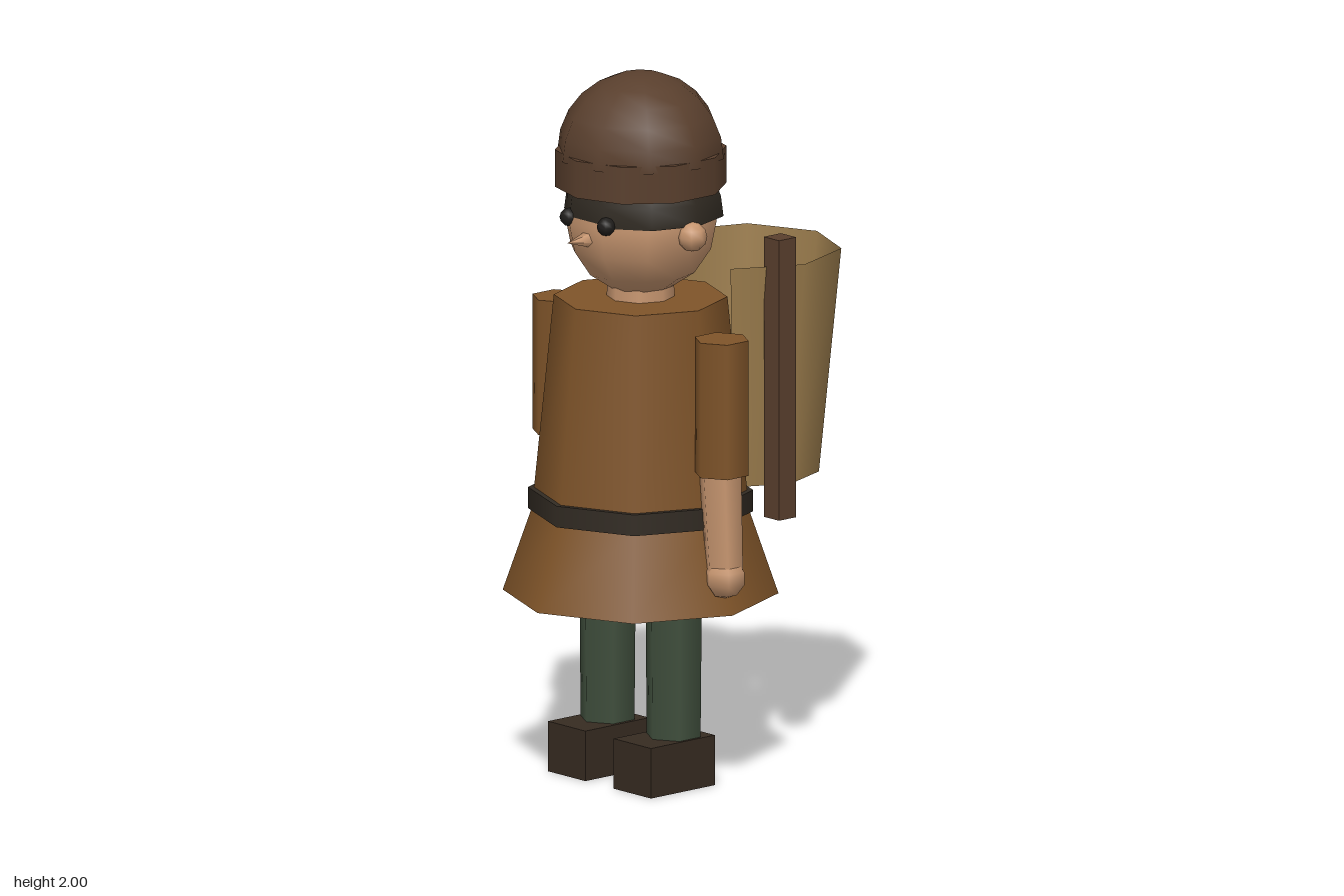
import * as THREE from 'three';

const CZ = 0.134; // depth of the body axis

function mat(name, color, side = THREE.FrontSide) {
  const m = new THREE.MeshStandardMaterial({ color, side });
  m.name = name;
  return m;
}

export function createModel() {
  const group = new THREE.Group();
  const coat = mat('coat brown', 0x7f5429);
  const belt = mat('belt dark', 0x322b23);
  const hair = mat('hair dark', 0x2f2921, THREE.DoubleSide);
  const leather = mat('leather and wood brown', 0x593f2d);
  const wicker = mat('basket tan', 0x9c7d4d, THREE.DoubleSide);
  const trousers = mat('trouser green', 0x3f4e3c);
  const boots = mat('boot brown', 0x362b21);
  const skin = mat('skin', 0xc6956f);
  const black = mat('eye black', 0x1f1d1b);

  function add(name, geometry, material, x, y, z) {
    const mesh = new THREE.Mesh(geometry, material);
    mesh.name = name;
    mesh.position.set(x, y, z);
    group.add(mesh);
    return mesh;
  }
  // Tapered cylinder standing between two heights
  function column(name, material, rTop, rBottom, y0, y1, sides, x = 0, z = CZ) {
    const g = new THREE.CylinderGeometry(rTop, rBottom, y1 - y0, sides);
    return add(name, g, material, x, (y0 + y1) / 2, z);
  }

  // Coat
  column('coatTop', coat, 0.24, 0.3, 0.76, 1.365, 8);
  column('coatSkirt', coat, 0.3, 0.381, 0.525, 0.76, 8);
  column('belt', belt, 0.311, 0.311, 0.757, 0.817, 8);

  // Head
  column('neck', skin, 0.09, 0.095, 1.34, 1.46, 8);
  add('head', new THREE.SphereGeometry(0.215, 10, 8), skin, 0, 1.59, CZ);
  add('hair', new THREE.SphereGeometry(0.225, 10, 6, 0, Math.PI * 2, 0, Math.PI / 2), hair, 0, 1.6, 0.122);
  const nose = add('nose', new THREE.ConeGeometry(0.027, 0.09, 5), skin, 0, 1.557, 0.36);
  nose.rotation.x = Math.PI / 2;

  // Cap: dome over a straight band
  add('capDome', new THREE.SphereGeometry(0.235, 10, 6, 0, Math.PI * 2, 0, Math.PI / 2), leather, 0, 1.765, CZ);
  column('capBand', leather, 0.238, 0.238, 1.68, 1.785, 10);

  // Basket: tapered wall, open towards the back of the coat
  const arc = THREE.MathUtils.degToRad(280);
  add('basket',
    new THREE.CylinderGeometry(0.268, 0.206, 0.635, 6, 1, true, Math.PI - arc / 2, arc),
    wicker, 0, 1.125, -0.25);

  // Paired parts
  for (const [side, s] of [['left', 1], ['right', -1]]) {
    column(side + 'Leg', trousers, 0.082, 0.078, 0.12, 0.56, 6, s * 0.137);
    add(side + 'Boot', new THREE.BoxGeometry(0.155, 0.142, 0.236), boots, s * 0.136, 0.071, 0.168);

    column(side + 'Sleeve', coat, 0.078, 0.078, 0.92, 1.303, 6, s * 0.336);
    const forearm = column(side + 'Forearm', skin, 0.062, 0.054, 0.64, 0.96, 6, s * 0.338);
    forearm.rotation.z = s * 0.06;
    const hand = add(side + 'Hand', new THREE.SphereGeometry(0.06, 6, 5), skin, s * 0.353, 0.63, CZ + 0.004);
    hand.rotation.y = Math.PI / 2;

    add(side + 'Ear', new THREE.SphereGeometry(0.042, 8, 6), skin, s * 0.217, 1.572, CZ + 0.003);
    add(side + 'Eye', new THREE.SphereGeometry(0.026, 8, 6), black, s * 0.077, 1.606, 0.33);

    add(side + 'Pole', new THREE.BoxGeometry(0.063, 0.795, 0.063), leather, s * 0.239, 1.128, -0.168);
  }
  return group;
}
